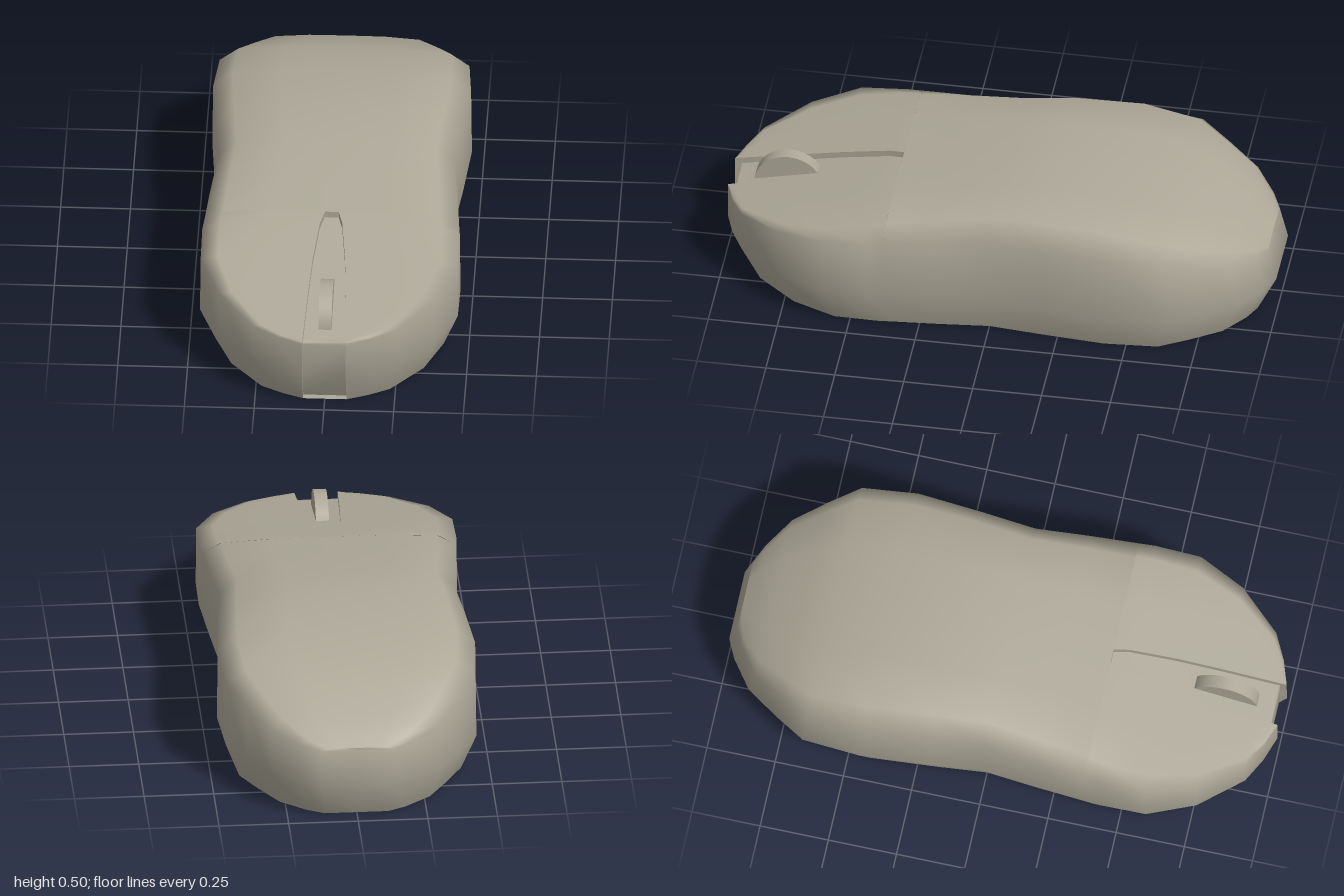
import * as THREE from 'three';
import { mergeVertices } from 'three/addons/utils/BufferGeometryUtils.js';

// Linear interpolation through [position, value] pairs
function lerpTable(table, p) {
  if (p <= table[0][0]) return table[0][1];
  for (let i = 1; i < table.length; i++) {
    const [a, va] = table[i - 1], [b, vb] = table[i];
    if (p <= b) return va + (vb - va) * (p - a) / (b - a);
  }
  return table[table.length - 1][1];
}

// Crown height, shoulder height and groove half width along z
const crown = [[-0.97, 0.28], [-0.86, 0.36], [-0.64, 0.455], [-0.43, 0.495], [-0.2, 0.505],
  [0, 0.49], [0.4, 0.43], [0.67, 0.365], [1, 0.29]];
const shoulder = [[-1, 0.27], [-0.89, 0.31], [-0.66, 0.39], [-0.45, 0.41], [0, 0.41],
  [0.45, 0.38], [0.6, 0.37], [0.77, 0.338], [0.92, 0.302], [1, 0.28]];
const groove = [[0.375, 0.025], [0.43, 0.04], [0.6, 0.058], [0.77, 0.068], [1, 0.078]];

// Half outline seen from above: [half width, z], back to front
const outline = [[0, -1], [0.13, -1], [0.2, -0.967], [0.305, -0.89], [0.385, -0.77], [0.45, -0.66],
  [0.465, -0.45], [0.445, -0.2], [0.425, 0], [0.445, 0.2], [0.459, 0.375], [0.459, 0.375],
  [0.464, 0.43], [0.462, 0.6], [0.39, 0.77], [0.26, 0.92], [0.17, 0.967], [0.078, 0.998]];
const GROOVE_START = 11; // first outline station with an open groove
const DEPTH = 0.024;

// Points of one half section, from the base up to the groove edge
function halfSection([w, z], i) {
  const g = i >= GROOVE_START ? lerpTable(groove, z) : 0;
  const zTop = z < 0 ? z * 0.97 : z;
  const top = lerpTable(crown, zTop);
  const side = Math.min(lerpTable(shoulder, z), top);
  const pts = [[w * 0.885, 0, z * 0.93], [w, 0.15, z], [w * 0.995, side, zTop]];
  for (const [f, d] of [[0.85, 0.22], [0.45, 0.02], [0, 0]])
    pts.push([g + Math.max(w * 0.995 - g, 0) * f, top - (top - side) * d, zTop]);
  if (i >= GROOVE_START) pts[0][0] = Math.max(pts[0][0], g);
  return pts;
}

const mirror = ([x, y, z]) => [-x, y, z];

// Surface through rows of points; skip(row, column) leaves openings
function loft(rows, skip = () => false) {
  const n = rows[0].length, index = [];
  for (let r = 0; r < rows.length - 1; r++)
    for (let c = 0; c < n - 1; c++) {
      if (skip(r, c)) continue;
      const a = r * n + c, b = a + 1, d = a + n, e = d + 1;
      index.push(a, d, b, b, d, e);
    }
  let geo = new THREE.BufferGeometry();
  geo.setAttribute('position', new THREE.Float32BufferAttribute(rows.flat(2), 3));
  geo.setIndex(index);
  geo = mergeVertices(geo, 1e-4);
  geo.computeVertexNormals();
  return geo;
}

export function createModel() {
  const group = new THREE.Group();
  const shell = new THREE.MeshStandardMaterial({ color: 0xada898 });
  shell.name = 'warmGreyPlastic';
  shell.side = THREE.DoubleSide;
  const add = (geo, name) => {
    const mesh = new THREE.Mesh(geo, shell);
    mesh.name = name;
    group.add(mesh);
    return mesh;
  };

  // Shell: sections run from the right base over the crown to the left base
  const halves = outline.map(halfSection);
  const sections = halves.map(h => [...h.map(mirror), ...h.slice().reverse()]);
  const centre = halves[0].length - 1;
  add(loft(sections, (r, c) => c === centre && r >= GROOVE_START), 'bodyShell');

  // Flat underside
  add(loft(halves.map(h => [h[0], mirror(h[0])])), 'underside');

  // Groove: its edge runs along the crown and down the nose
  const last = halves[halves.length - 1];
  const edge = halves.slice(GROOVE_START).map(h => h[centre]);
  edge.push(last[2], last[1], last[0]);
  const floor = edge.map(([x, y, z], i) => {
    const k = edge.length - 1 - i; // 0..2 lie on the nose
    if (k === 0) return [x, 0, z - DEPTH];
    if (k === 1) return [x, y, z - DEPTH];
    if (k <= 3) return [x, y - DEPTH * 0.7, z - DEPTH];
    return [x, y - DEPTH, z];
  });
  add(loft(floor.map(p => [mirror(p), p])), 'grooveFloor');
  add(loft(edge.map((p, i) => [floor[i], p])), 'grooveWallLeft');
  add(loft(edge.map((p, i) => [mirror(p), mirror(floor[i])])), 'grooveWallRight');
  add(loft([[mirror(edge[0]), edge[0]], [mirror(floor[0]), floor[0]]]), 'grooveEnd');

  // Scroll wheel
  const wheel = add(new THREE.CylinderGeometry(0.125, 0.125, 0.047, 32), 'scrollWheel');
  wheel.rotation.z = Math.PI / 2;
  wheel.position.set(0, 0.272, 0.787);

  return group;
}
